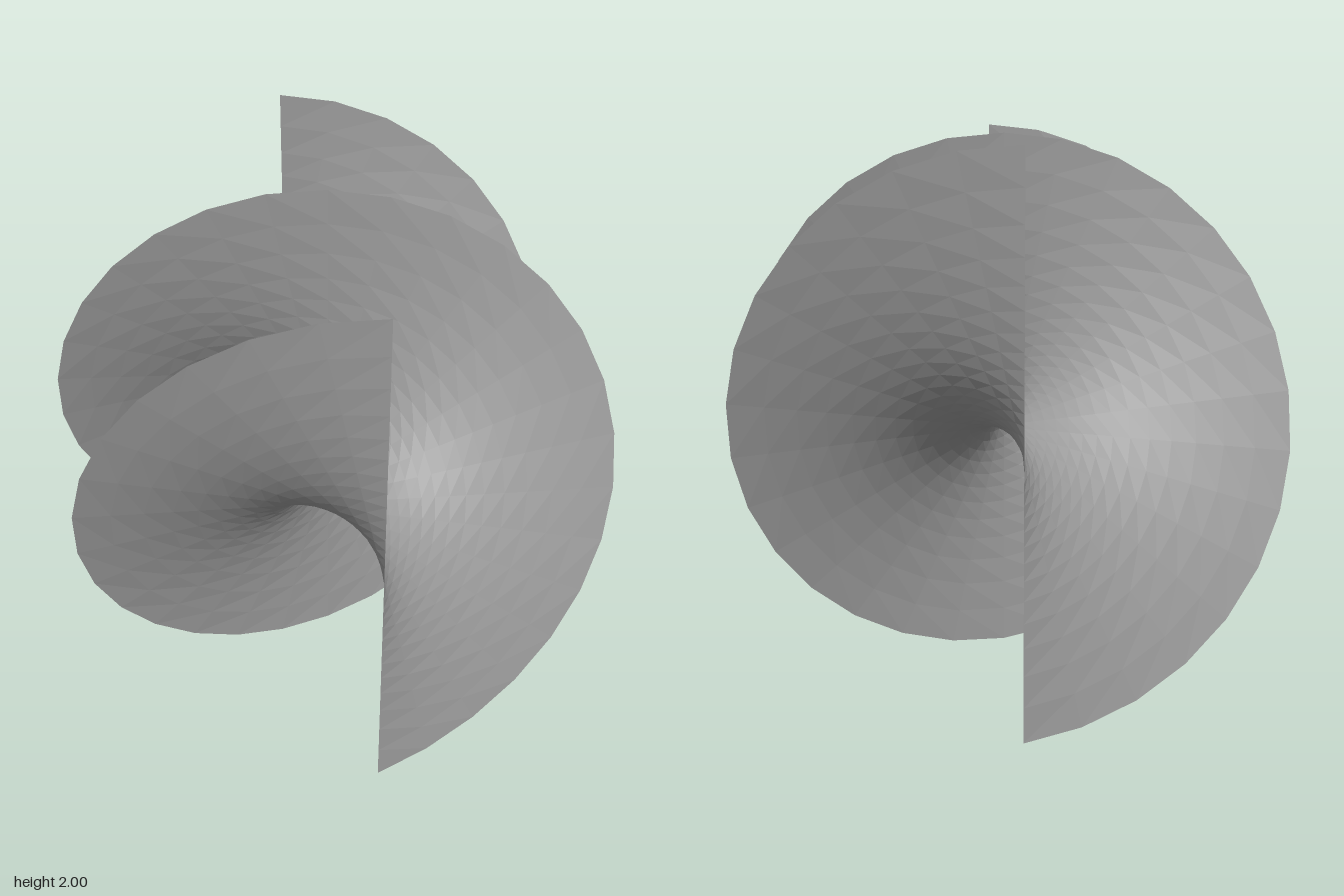
import * as THREE from 'three';
import { ParametricGeometry } from 'three/addons/geometries/ParametricGeometry.js';

const STEPS = 30;             // facets around the turn and across the blade
const SPREAD = 2;             // rulings are spaced by sinh, denser near the axis
const R = Math.sinh(SPREAD);  // scales the outer radius to 1

// Helicoid: a diameter making one full turn while moving along z,
// upright at both ends and in the middle
function helicoid(u, v, target) {
  const turn = (u - 0.5) * 2 * Math.PI;
  const r = Math.sinh((v - 0.5) * 2 * SPREAD) / R;
  target.set(r * Math.sin(turn), 1 - r * Math.cos(turn), -turn / R);
}

export function createModel() {
  const group = new THREE.Group();
  group.name = 'helicoid';

  const blade = new THREE.Mesh(
    new ParametricGeometry(helicoid, STEPS, STEPS),
    new THREE.MeshStandardMaterial({ color: 0x999999, flatShading: true, side: THREE.DoubleSide })
  );
  blade.name = 'spiralBlade';
  group.add(blade);
  return group;
}
